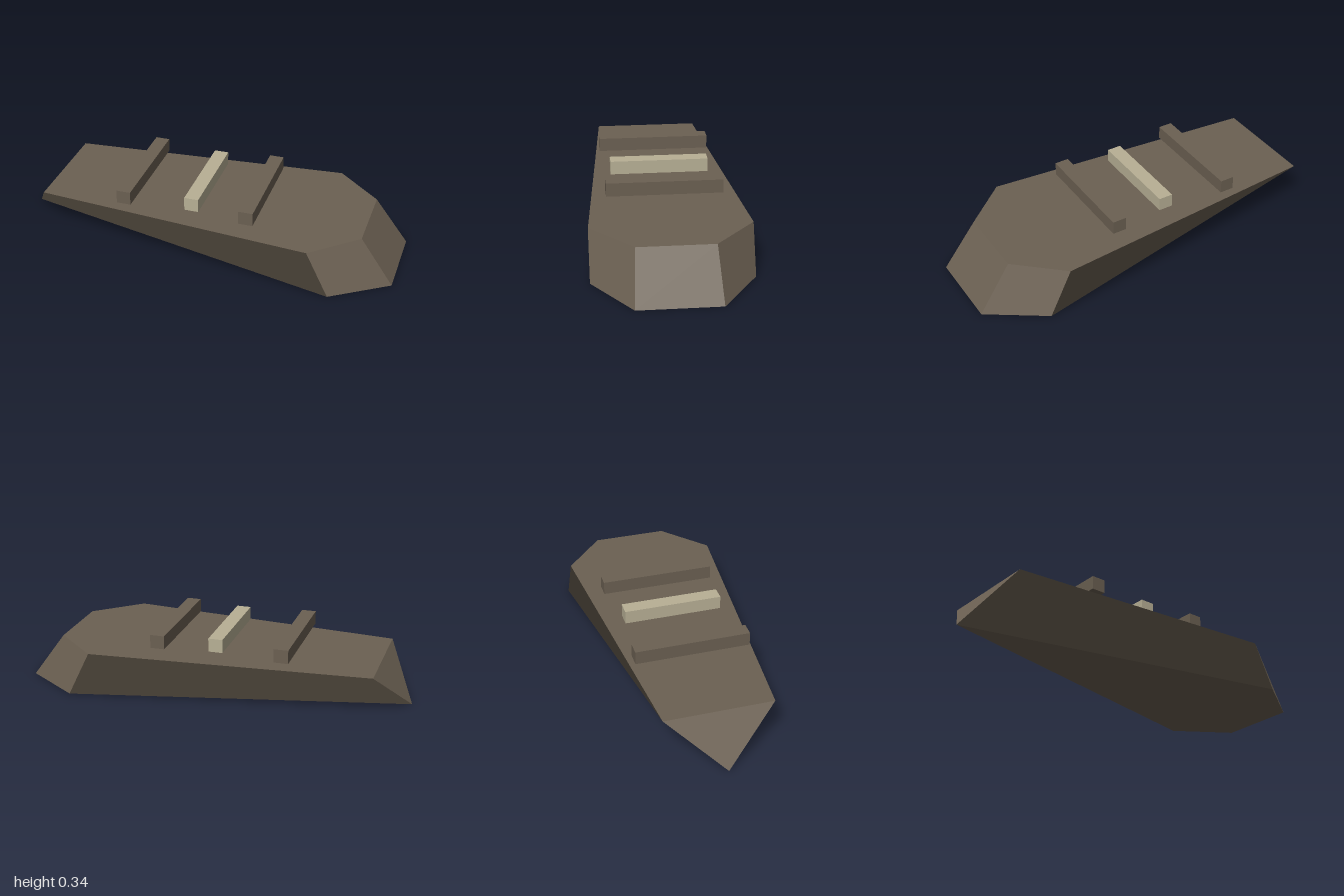
import * as THREE from 'three';

const hullBrown = new THREE.MeshStandardMaterial({ color: 0x6b6052 });
hullBrown.name = 'hullBrown';
const paleTan = new THREE.MeshStandardMaterial({ color: 0xb8b095 });
paleTan.name = 'paleTan';

// Flat-shaded solid: each face is a loop of corners, counter-clockwise from outside
function facetGeometry(faces) {
  const pos = [], nor = [], idx = [];
  for (const face of faces) {
    const base = pos.length / 3;
    const p = face.map(c => new THREE.Vector3(...c));
    // One normal for the whole face (Newell's rule), so twisted quads shade evenly
    const n = new THREE.Vector3();
    p.forEach((a, i) => n.add(a.clone().cross(p[(i + 1) % p.length])));
    n.normalize();
    for (const v of p) {
      pos.push(v.x, v.y, v.z);
      nor.push(n.x, n.y, n.z);
    }
    for (let i = 1; i < p.length - 1; i++) idx.push(base, base + i, base + i + 1);
  }
  const g = new THREE.BufferGeometry();
  g.setAttribute('position', new THREE.Float32BufferAttribute(pos, 3));
  g.setAttribute('normal', new THREE.Float32BufferAttribute(nor, 3));
  g.setIndex(idx);
  return g;
}

function makeHull() {
  const H = 0.235;
  const tip = [-1, 0, 0];
  // Corners for one side: s = 1 at +z, s = -1 at -z
  const side = s => ({
    noseTop: [-0.84, H, 0.276 * s],
    wideTop: [0.6, H, 0.397 * s],
    endTop: [0.83, H, 0.191 * s],
    wideLow: [0.715, 0, 0.397 * s],
    endLow: [1, 0, 0.206 * s],
  });
  const f = side(1), b = side(-1);
  const faces = [
    [f.noseTop, f.wideTop, f.endTop, b.endTop, b.wideTop, b.noseTop], // deck
    [tip, b.wideLow, b.endLow, f.endLow, f.wideLow],                  // bottom
    [tip, f.noseTop, b.noseTop],                                      // nose
    [f.endLow, b.endLow, b.endTop, f.endTop],                         // blunt end
    [f.noseTop, tip, f.wideLow, f.wideTop],                           // long sides
    [b.noseTop, b.wideTop, b.wideLow, tip],
    [f.wideTop, f.wideLow, f.endLow, f.endTop],                       // chamfers
    [b.wideTop, b.endTop, b.endLow, b.wideLow],
  ];
  const hull = new THREE.Mesh(facetGeometry(faces), hullBrown);
  hull.name = 'hull';
  return hull;
}

export function createModel() {
  const model = new THREE.Group();
  model.name = 'boat';
  model.add(makeHull());

  // Crosswise benches held just above the deck
  const benches = [
    ['rearBench', -0.383, 0.588, hullBrown],
    ['middleBench', -0.033, 0.508, paleTan],
    ['frontBench', 0.263, 0.588, hullBrown],
  ];
  for (const [name, x, length, material] of benches) {
    const bench = new THREE.Mesh(new THREE.BoxGeometry(0.074, 0.07, length), material);
    bench.position.set(x, 0.301, 0);
    bench.name = name;
    model.add(bench);
  }
  return model;
}
